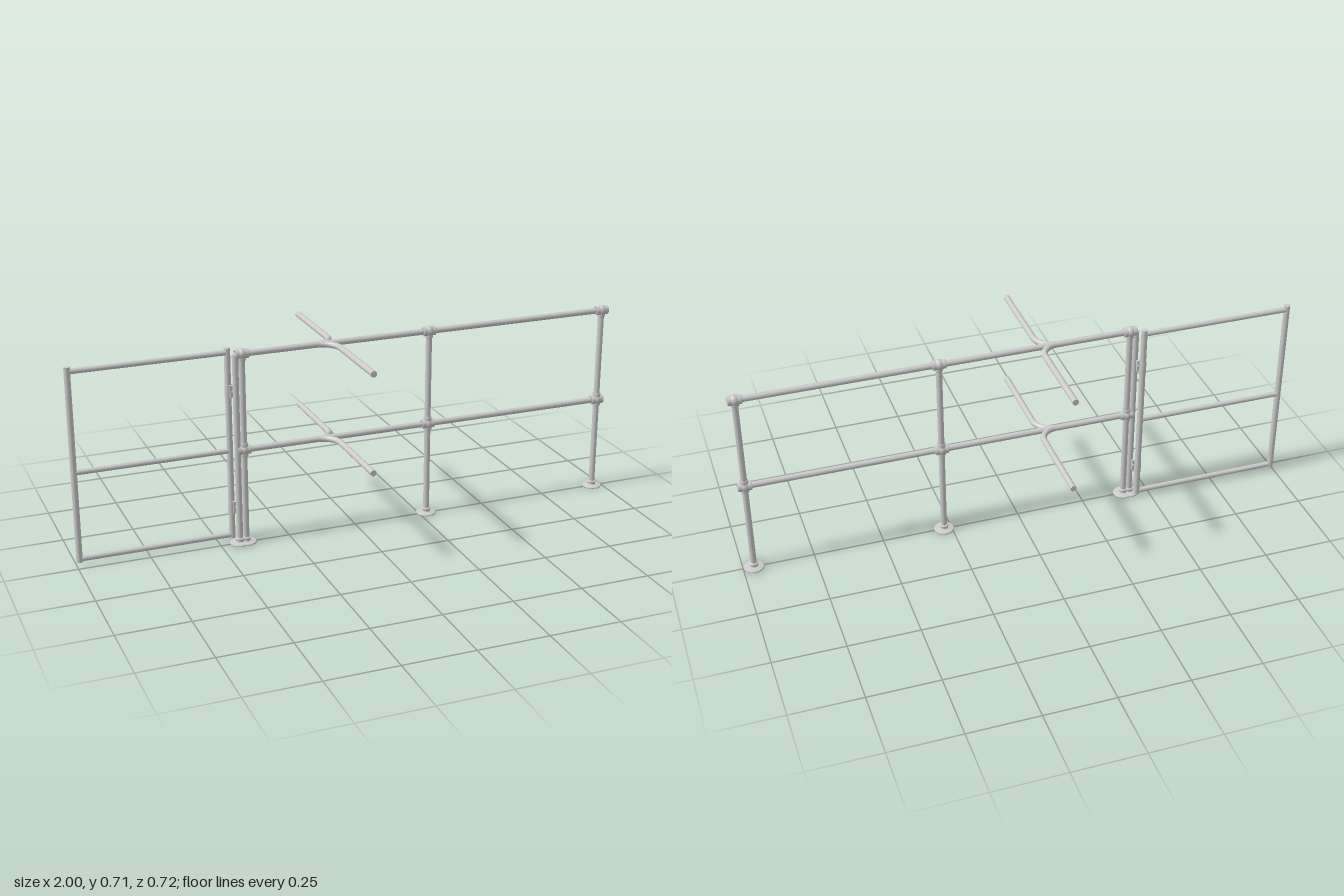
import * as THREE from 'three';

const R = 0.0108;                 // tube radius
const RAILS = [0.69, 0.346];      // rail heights
const mat = new THREE.MeshStandardMaterial({ color: 0xcccccc, side: THREE.DoubleSide });

function add(parent, name, geometry, x = 0, y = 0, z = 0) {
  const mesh = new THREE.Mesh(geometry, mat);
  mesh.name = name;
  mesh.position.set(x, y, z);
  parent.add(mesh);
  return mesh;
}

// Upright tube from y0 to y1
function upright(parent, name, x, z, y0, y1, r = R, open = false) {
  return add(parent, name, new THREE.CylinderGeometry(r, r, y1 - y0, 24, 1, open), x, (y0 + y1) / 2, z);
}

// Level tube from x0 to x1
function level(parent, name, x0, x1, y, z, r = R, open = false) {
  const mesh = add(parent, name, new THREE.CylinderGeometry(r, r, x1 - x0, 24, 1, open), (x0 + x1) / 2, y, z);
  mesh.rotation.z = Math.PI / 2;
  return mesh;
}

// Hollow sleeve turned from a profile, centred on the origin
function sleeve(outer, inner, half) {
  const b = 0.002;
  const pts = [[inner, -half], [outer - b, -half], [outer, -half + b], [outer, half - b],
    [outer - b, half], [inner, half], [inner, -half]];
  return new THREE.LatheGeometry(pts.map(p => new THREE.Vector2(...p)), 24);
}

// Floor flange with a socket collar
function flange(parent, x) {
  const pts = [[0, 0], [0.036, 0], [0.036, 0.003], [0.033, 0.006], [0.016, 0.007],
    [0.0145, 0.009], [0.0145, 0.017], [0.0165, 0.018], [0.0165, 0.021], [R, 0.022]];
  add(parent, 'floorFlange', new THREE.LatheGeometry(pts.map(p => new THREE.Vector2(...p)), 32), x);
}

// Post with its flange and a pipe fitting at each rail
function post(x) {
  const g = new THREE.Group();
  g.name = 'post';
  upright(g, 'postTube', x, 0, 0.005, RAILS[0]);
  flange(g, x);
  RAILS.forEach((y, i) => {
    const f = add(g, 'railFitting', sleeve(0.0165, R, 0.024), x, y);
    f.rotation.z = Math.PI / 2;
    add(g, 'fittingBody', new THREE.SphereGeometry(0.019, 24, 16), x, y);
    const low = y - 0.024, high = i === 0 ? y : y + 0.026;
    add(g, 'fittingCollar', sleeve(0.0145, R, (high - low) / 2), x, (low + high) / 2);
  });
  return g;
}

// Two arms that sweep out of a rail to the front and back
function arms(y) {
  const g = new THREE.Group();
  g.name = 'sideArms';
  for (const s of [1, -1]) {
    const path = new THREE.CurvePath();
    const v = (x, z) => new THREE.Vector3(x, y, z * s);
    const k = 0.029;
    path.add(new THREE.CubicBezierCurve3(v(-0.143, 0), v(-0.143 + 0.065 - k, 0), v(-0.078, k), v(-0.078, 0.065)));
    path.add(new THREE.LineCurve3(v(-0.078, 0.065), v(-0.078, 0.36)));
    add(g, 'armTube', new THREE.TubeGeometry(path, 60, R, 20));
    add(g, 'armEnd', new THREE.CircleGeometry(R, 20), -0.078, y, 0.36 * s).rotation.y = s > 0 ? 0 : Math.PI;
  }
  return g;
}

// Gate: two stiles, three bars, two hinges
function gate() {
  const g = new THREE.Group();
  g.name = 'gate';
  const z = -0.031, inner = -0.449, outer = -0.989;
  for (const x of [inner, outer]) upright(g, 'gateStile', x, z, 0.012, 0.706);
  for (const y of [0.69, 0.337, 0.023]) level(g, 'gateBar', outer, inner, y, z, 0.0095);
  for (const y of [0.556, 0.132]) {
    add(g, 'hingeSleeve', sleeve(0.0122, R, 0.023), inner, y, z);
    add(g, 'hingePlate', new THREE.BoxGeometry(0.016, 0.042, 0.012), -0.44, y, -0.016);
    const pin = add(g, 'hingeBolt', new THREE.CylinderGeometry(0.006, 0.006, 0.022, 16), -0.438, y, -0.014);
    pin.rotation.x = Math.PI / 2;
  }
  return g;
}

export function createModel() {
  const model = new THREE.Group();
  model.name = 'railingWithGate';

  // Fence posts and rails
  for (const x of [-0.408, 0.277, 0.962]) model.add(post(x));
  for (const y of RAILS) {
    level(model, 'rail', -0.432, 0.982, y, 0);
    model.add(arms(y));
  }

  // Hinge post beside the end post
  upright(model, 'hingePost', -0.431, 0, 0.005, 0.69);
  flange(model, -0.431);

  model.add(gate());
  return model;
}
